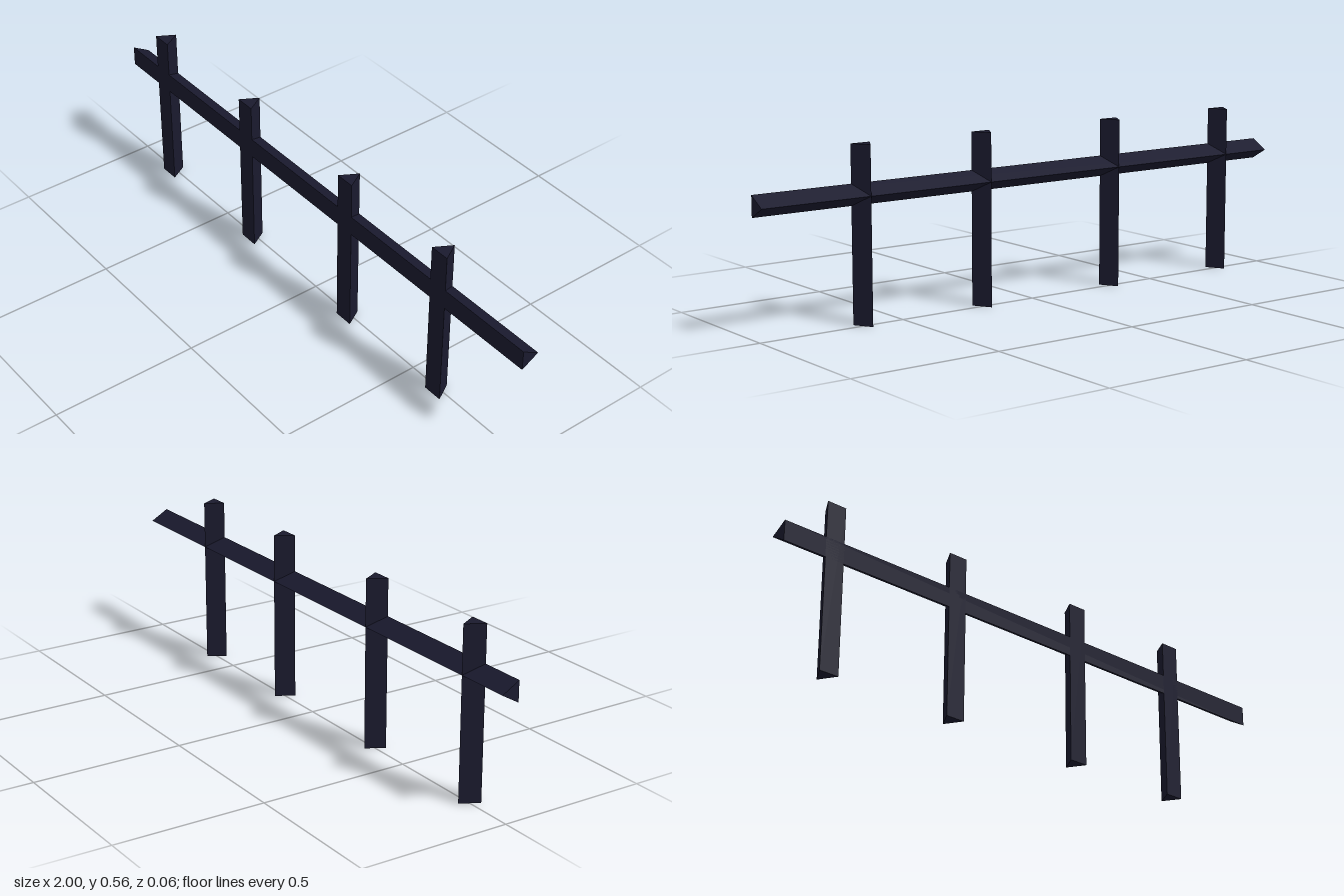
import * as THREE from 'three';

const RADIUS = 0.0392; // circumradius of the triangular section

export function createModel() {
  const fence = new THREE.Group();
  fence.name = 'fence';
  const material = new THREE.MeshStandardMaterial({ color: 0x1a1a2e, flatShading: true });

  // Triangular bar along y: flat face to the front, ridge to the back
  const bar = (name, length) => {
    const geometry = new THREE.CylinderGeometry(RADIUS, RADIUS, length, 3);
    geometry.rotateY(Math.PI);
    geometry.translate(0, 0, RADIUS / 4);
    const mesh = new THREE.Mesh(geometry, material);
    mesh.name = name;
    fence.add(mesh);
    return mesh;
  };

  // Unevenly spaced upright posts
  const height = 0.558;
  [-0.816, -0.337, 0.183, 0.627].forEach((x, i) => {
    bar(`post${i + 1}`, height).position.set(x, height / 2, 0);
  });

  // Long horizontal rail
  const rail = bar('rail', 2);
  rail.rotation.z = Math.PI / 2;
  rail.position.y = 0.402;

  return fence;
}
